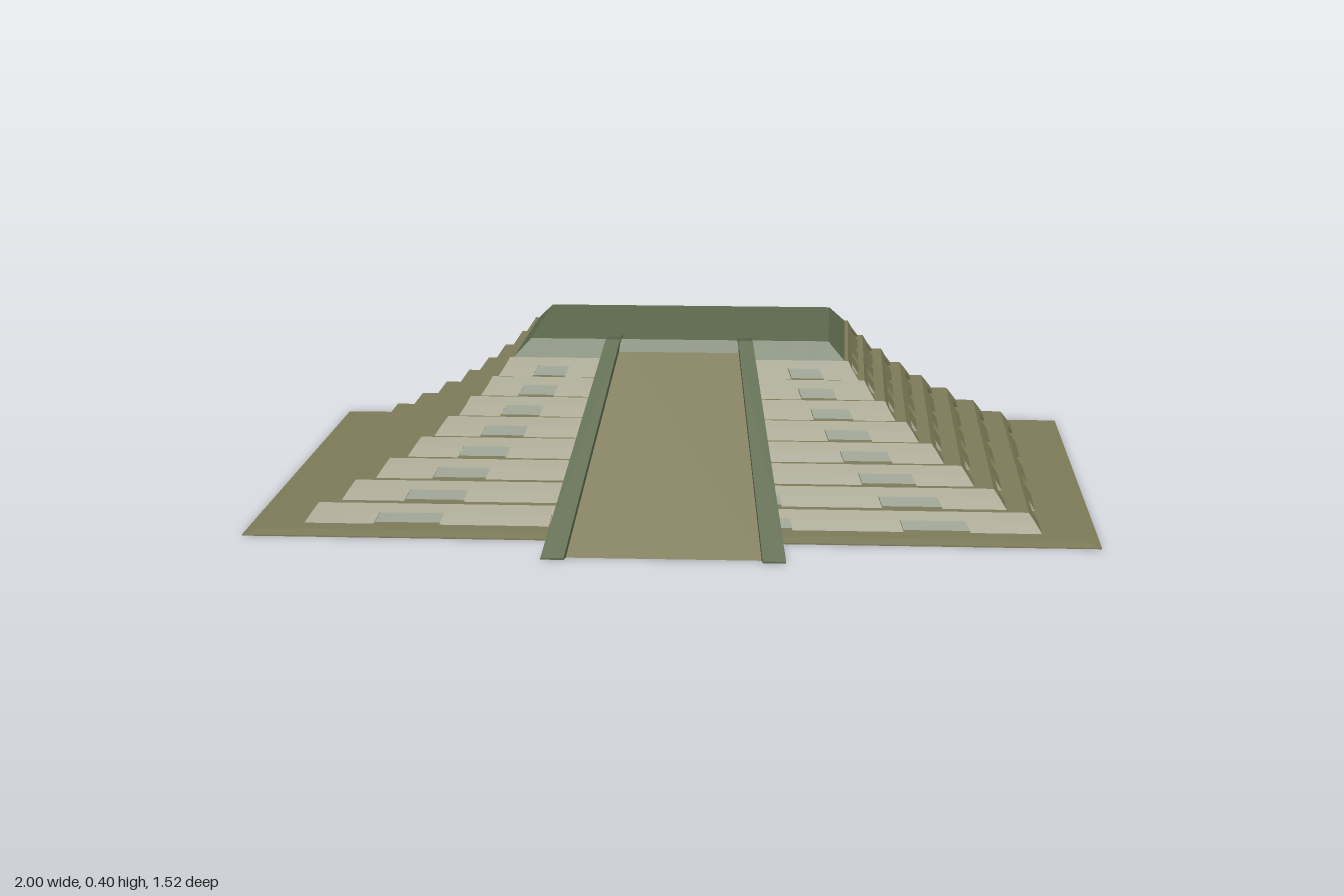
import * as THREE from 'three';

const tan = new THREE.MeshStandardMaterial({ color: 0x7d7a58, side: THREE.DoubleSide });
const green = new THREE.MeshStandardMaterial({ color: 0x5c694c, side: THREE.DoubleSide });

// Half sizes in x and z at the foot of each tier; the last entry is the crown
const halfX = [0.87, 0.79, 0.715, 0.645, 0.585, 0.53, 0.48, 0.44, 0.405];
const halfZ = [0.587, 0.533, 0.484, 0.44, 0.4, 0.362, 0.328, 0.3, 0.275];
const TIERS = 8, FLOOR = 0.01, STEP = 0.0431;
const levelY = (i) => FLOOR + i * STEP;

// Rectangular outline with four niches of the given depth cut into every side
function outline(hx, hz, y, depth = 0) {
  const points = [];
  for (let k = 0; k < 4; k++) {
    const [a, b] = k % 2 ? [hz, hx] : [hx, hz];
    const spacing = k % 2 ? 0.046 + 0.404 * a : 0.48 * a;
    const w = 0.09 * a;
    const side = [[-a, 0]];
    for (let n = -1.5; n <= 1.5; n++) {
      const c = n * spacing;
      side.push([c - w, 0], [c - w, depth], [c + w, depth], [c + w, 0]);
    }
    for (const [s, d] of side) {
      let x = s, z = b - d;
      for (let r = 0; r < k; r++) [x, z] = [z, -x];
      points.push([x, y, z]);
    }
  }
  return points;
}

// Flat-shaded skin over a stack of outlines
function loft(rings) {
  const pos = [];
  for (let r = 0; r + 1 < rings.length; r++) {
    const lo = rings[r], hi = rings[r + 1];
    for (let i = 0; i < lo.length; i++) {
      const j = (i + 1) % lo.length;
      pos.push(...lo[i], ...lo[j], ...hi[j], ...lo[i], ...hi[j], ...hi[i]);
    }
  }
  const geo = new THREE.BufferGeometry();
  geo.setAttribute('position', new THREE.Float32BufferAttribute(pos, 3));
  geo.computeVertexNormals();
  return geo;
}

// Side profile in (z, y), spread across x between two edges that depend on z
function spread(profile, edgeA, edgeB) {
  const shape = new THREE.Shape(profile.map(([z, y]) => new THREE.Vector2(z, y)));
  const geo = new THREE.ExtrudeGeometry(shape, { depth: 1, bevelEnabled: false });
  const p = geo.attributes.position;
  for (let i = 0; i < p.count; i++) {
    const z = p.getX(i), t = p.getZ(i);
    p.setXYZ(i, THREE.MathUtils.lerp(edgeA(z), edgeB(z), t), p.getY(i), z);
  }
  geo.computeVertexNormals();
  return geo;
}

export function createModel() {
  const model = new THREE.Group();
  const add = (name, geo, mat, parent = model) => {
    const mesh = new THREE.Mesh(geo, mat);
    mesh.name = name;
    parent.add(mesh);
    return mesh;
  };

  const pyramid = new THREE.Group();
  pyramid.name = 'pyramid';
  pyramid.position.z = -0.084;
  model.add(pyramid);

  // Thin bevelled base frame, open in the middle
  add('base', loft([
    outline(0.82, 0.537, 0), outline(1, 0.676, 0), outline(1, 0.676, 0.003),
    outline(0.965, 0.641, FLOOR), outline(0.82, 0.537, FLOOR),
  ]), tan, pyramid);

  // Sloped tiers, each with a row of niches along its foot
  for (let i = 0; i < TIERS; i++) {
    const hx = halfX[i], hz = halfZ[i];
    const y0 = levelY(i), y1 = y0 + 0.024, y2 = levelY(i + 1);
    const mid = 0.016, top = i < 5 ? 0.03 : 0.026;
    add('tier', loft([
      outline(hx, hz, y0, 0.03),
      outline(hx - mid, hz - mid, y1, 0.03),
      outline(hx - mid, hz - mid, y1),
      outline(hx - top, hz - top, y2),
      outline(halfX[i + 1] - 0.035, halfZ[i + 1] - 0.035, y2),
    ]), tan, pyramid);
    add('nichePanels', loft([
      outline(hx - 0.018, hz - 0.018, y0),
      outline(hx - mid - 0.018, hz - mid - 0.018, y1),
    ]), green, pyramid);
  }

  // Crown with a flat top
  const crownY = levelY(TIERS);
  add('crown', loft([
    outline(halfX[TIERS], halfZ[TIERS], crownY),
    outline(0.365, 0.24, 0.396),
    outline(0.001, 0.001, 0.396),
  ]), green, pyramid);

  // Hollow inside with a flat ceiling
  const inner = halfX.map((hx, i) => outline(hx - 0.05, halfZ[i] - 0.05, i ? levelY(i) : 0));
  inner.push(outline(0.001, 0.001, crownY));
  add('innerLining', loft(inner), green, pyramid);

  // Stair ramp, narrowing towards the top
  const along = (foot, head) => (z) => THREE.MathUtils.mapLinear(z, 0.755, 0.15, foot, head);
  const inside = along(0.225, 0.143), outside = along(0.278, 0.178);
  add('ramp', spread(
    [[0.737, 0], [0.15, 0.388], [0.16, 0.375], [0.715, 0]],
    (z) => -inside(z), inside), tan);

  // Side walls of the ramp with small end blocks at the top
  for (const side of [-1, 1]) {
    add('rampWall', spread(
      [[0.757, 0], [0.757, 0.004], [0.16, 0.4], [0.15, 0.36], [0.285, 0.19], [0.46, 0]],
      (z) => side * inside(z), (z) => side * outside(z)), green);
    const block = add('endBlock', new THREE.BoxGeometry(0.036, 0.012, 0.036), green);
    block.position.set(side * 0.16, 0.398, 0.148);
  }
  return model;
}
